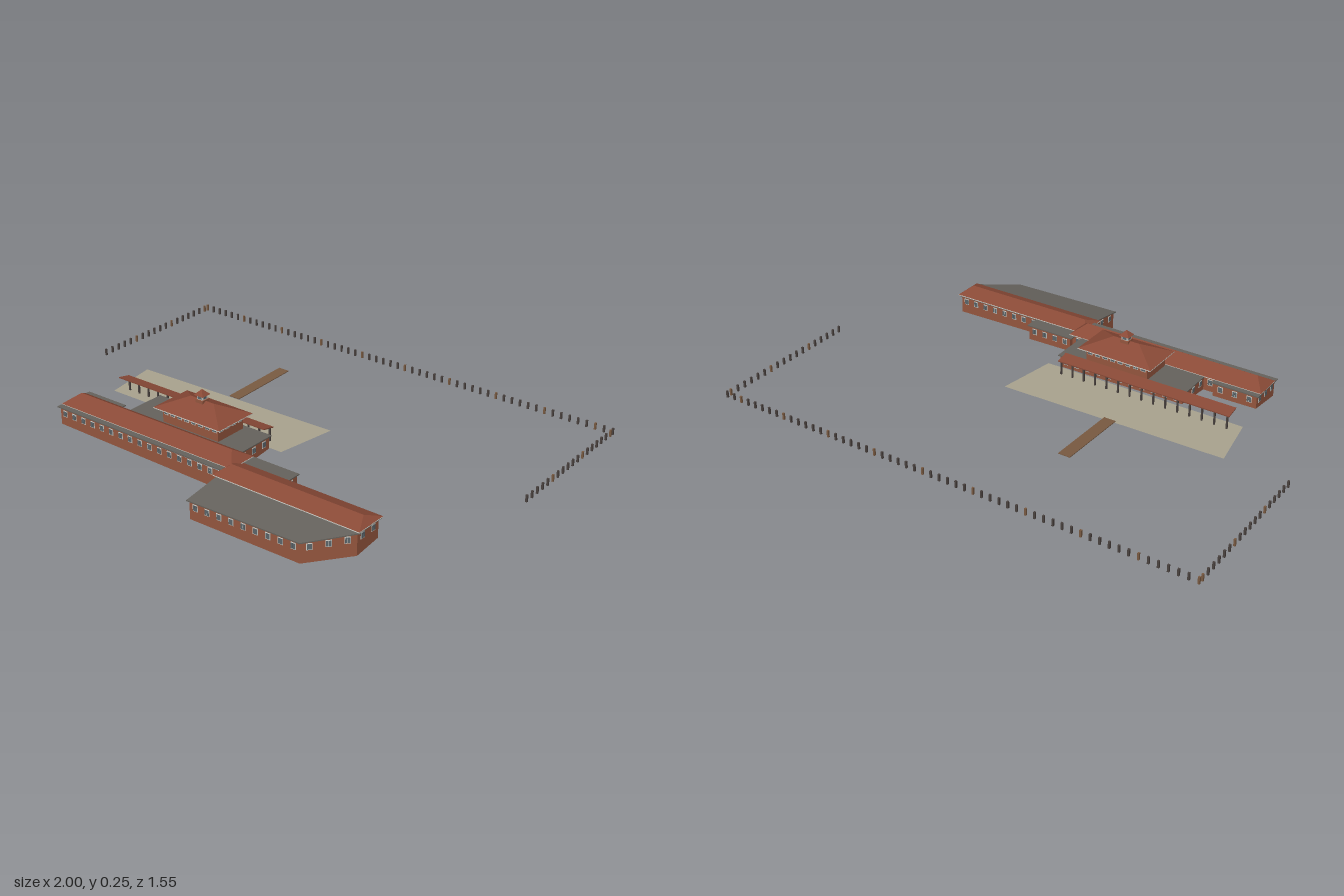
import * as THREE from 'three';

const paint = (color, side = THREE.FrontSide) =>
  new THREE.MeshStandardMaterial({ color, side, flatShading: true });

export function createModel() {
  const root = new THREE.Group();
  root.name = 'longBuilding';
  // the whole site is turned ten degrees on its plot
  const site = new THREE.Group();
  site.name = 'site';
  site.rotation.y = -THREE.MathUtils.degToRad(10);
  root.add(site);

  const brick = paint(0x96573f, THREE.DoubleSide);
  const tile = paint(0x8a4a37, THREE.DoubleSide);
  const felt = paint(0x66635d);
  const trim = paint(0xcfcfc8);
  const glass = paint(0x5c666b);
  const stone = paint(0xaaa48f, THREE.DoubleSide);
  const wood = paint(0x7a5b42);
  const dark = paint(0x4b4340);

  const add = (name, geometry, material, parent = site) => {
    const mesh = new THREE.Mesh(geometry, material);
    mesh.name = name;
    parent.add(mesh);
    return mesh;
  };
  const box = (name, mat, w, h, d, x, y, z, parent) => {
    const m = add(name, new THREE.BoxGeometry(w, h, d), mat, parent);
    m.position.set(x, y, z);
    return m;
  };
  const group = (name) => {
    const g = new THREE.Group();
    g.name = name;
    site.add(g);
    return g;
  };
  const surface = (points, index) => {
    const g = new THREE.BufferGeometry();
    g.setAttribute('position', new THREE.Float32BufferAttribute(points.flat(), 3));
    g.setIndex(index);
    const flat = g.toNonIndexed();
    flat.computeVertexNormals();
    return flat;
  };
  // horizontal slab from a plan outline, its top at y; lift bends it into a slope
  const slab = (name, mat, outline, y, thick, lift = () => 0) => {
    const g = new THREE.ExtrudeGeometry(
      new THREE.Shape(outline.map(([a, b]) => new THREE.Vector2(a, b))),
      { depth: thick, bevelEnabled: false });
    g.rotateX(Math.PI / 2);
    const p = g.attributes.position;
    for (let i = 0; i < p.count; i++) p.setY(i, p.getY(i) + y + lift(p.getX(i), p.getZ(i)));
    g.computeVertexNormals();
    return add(name, g, mat);
  };
  const rect = (a0, a1, b0, b1) => [[a0, b0], [a1, b0], [a1, b1], [a0, b1]];
  // hipped roof with a ridge along x
  const hipRoof = (name, [a0, a1, b0, b1], y0, y1, inset) => {
    const c = (b0 + b1) / 2;
    const pts = [[a0, y0, b0], [a1, y0, b0], [a1, y0, b1], [a0, y0, b1],
      [a0 + inset, y1, c], [a1 - inset, y1, c]];
    add(name, surface(pts, [3, 2, 5, 3, 5, 4, 1, 0, 4, 1, 4, 5, 0, 3, 4, 2, 1, 5,
      0, 1, 2, 0, 2, 3]), tile);
    slab(name + 'Eave', trim, rect(a0, a1, b0, b1), y0 - 0.0005, 0.003);
  };

  // one wall run per side of the outline, with evenly spaced windows
  const walls = (name, outline, top, bottom, winY, winH, spacing) => {
    const g = group(name);
    outline.forEach(([a, b], i) => {
      const [c, d] = outline[(i + 1) % outline.length];
      add('wall', surface([[a, bottom(a, b), b], [c, bottom(c, d), d],
        [c, top(c, d), d], [a, top(a, b), b]], [0, 2, 1, 0, 3, 2]), brick, g);
      const length = Math.hypot(c - a, d - b);
      const n = Math.floor(length / spacing);
      for (let k = 0; k < n; k++) {
        const t = (k + 0.5) / n;
        const x = a + (c - a) * t, z = b + (d - b) * t;
        const w = new THREE.Group();
        w.name = 'window';
        w.position.set(x, top(x, z) - winY, z);
        w.rotation.y = -Math.atan2(d - b, c - a);
        g.add(w);
        box('windowFrame', trim, 0.02, winH, 0.003, 0, 0, 0, w);
        for (const s of [-1, 1])
          box('windowPane', glass, 0.0075, winH - 0.005, 0.005, s * 0.0043, 0, 0, w);
      }
    });
  };

  // sloping ground line and roof heights of the low storey
  const ground = (a, b) => 0.026 - 0.015 * (a - 0.06) - 0.11 * (b - 0.52);
  const shed = (a, b) => -0.15 * Math.max(0, b - 0.555);
  const eave = (a, b) => (a > 0.07 ? 0.096 + shed(a, b) : 0.104);

  walls('outerWalls', [
    [-0.712, 0.374], [-0.54, 0.374], [-0.54, 0.4], [-0.488, 0.4], [-0.488, 0.237],
    [0.026, 0.237], [0.026, 0.4], [0.077, 0.4], [0.077, 0.382], [0.264, 0.382],
    [0.264, 0.444], [0.636, 0.444], [0.636, 0.555], [0.513, 0.683], [0.074, 0.697],
    [0.074, 0.518], [-0.712, 0.518]], eave, ground, 0.02, 0.024, 0.046);

  // flat roofs
  slab('mainFlatRoof', felt, [[-0.721, 0.367], [-0.534, 0.367], [-0.534, 0.392],
    [-0.494, 0.392], [-0.494, 0.229], [0.032, 0.229], [0.032, 0.392], [0.075, 0.392],
    [0.067, 0.525], [-0.721, 0.525]], 0.108, 0.004);
  slab('wingRearFlatRoof', felt, rect(0.068, 0.27, 0.376, 0.45), 0.1, 0.004);
  slab('wingCeiling', felt, rect(0.068, 0.645, 0.437, 0.555), 0.1, 0.004);
  slab('wingFrontFlatRoof', felt, [[0.067, 0.555], [0.65, 0.555], [0.518, 0.69],
    [0.067, 0.704]], 0.1, 0.004, shed);

  // tiled roofs
  hipRoof('mainRoof', [-0.721, 0.084, 0.388, 0.503], 0.11, 0.145, 0.045);
  hipRoof('wingRoof', [0.052, 0.647, 0.435, 0.56], 0.103, 0.126, 0.03);

  // central tower with its lantern
  walls('towerWalls', rect(-0.336, -0.08, 0.248, 0.38), () => 0.163, () => 0.104,
    0.014, 0.018, 0.032);
  hipRoof('towerRoof', [-0.361, -0.055, 0.226, 0.402], 0.165, 0.206, 0.1);
  box('lanternBase', brick, 0.034, 0.012, 0.034, -0.208, 0.204, 0.314);
  box('lanternCore', trim, 0.026, 0.018, 0.026, -0.208, 0.218, 0.314);
  for (const s of [-1, 1]) {
    box('lanternLouvre', glass, 0.016, 0.011, 0.002, -0.208, 0.218, 0.314 + s * 0.013);
    box('lanternLouvre', glass, 0.002, 0.011, 0.016, -0.208 + s * 0.013, 0.218, 0.314);
  }
  const cap = add('lanternRoof', new THREE.ConeGeometry(0.029, 0.021, 4), tile);
  cap.position.set(-0.208, 0.2365, 0.314);
  cap.rotation.y = Math.PI / 4;

  // veranda along the back
  slab('verandaRoof', tile, rect(-0.7, 0.002, 0.183, 0.234), 0.114, 0.004,
    (a, b) => (b - 0.183) * 0.2);
  const posts = group('verandaPosts');
  for (let i = 0; i < 15; i++)
    box('verandaPost', dark, 0.006, 0.054, 0.006, -0.69 + i * 0.0487, 0.085, 0.19, posts);

  // terrace and walkway
  add('terrace', surface([[-0.77, 0.058, 0.014], [0.112, 0.058, -0.004],
    [0.076, 0.058, 0.232], [-0.732, 0.058, 0.232]], [0, 2, 1, 0, 3, 2]), stone);
  const walk = box('walkway', wood, 0.046, 0.003, 0.295, -0.329, 0.068, -0.14);
  walk.rotation.x = 0.03;

  // fence posts on three sides of the plot
  const fence = group('fence');
  const run = (a0, b0, a1, b1, n) => {
    for (let i = 0; i <= n; i++)
      box('fencePost', i % 6 ? dark : wood, 0.007, 0.026, 0.007,
        a0 + (a1 - a0) * i / n, 0.06, b0 + (b1 - b0) * i / n, fence);
  };
  run(-1.012, -0.612, 0.906, -0.612, 56);
  run(-1.014, -0.594, -1.014, -0.005, 17);
  run(0.906, -0.594, 0.906, -0.005, 17);

  return root;
}
